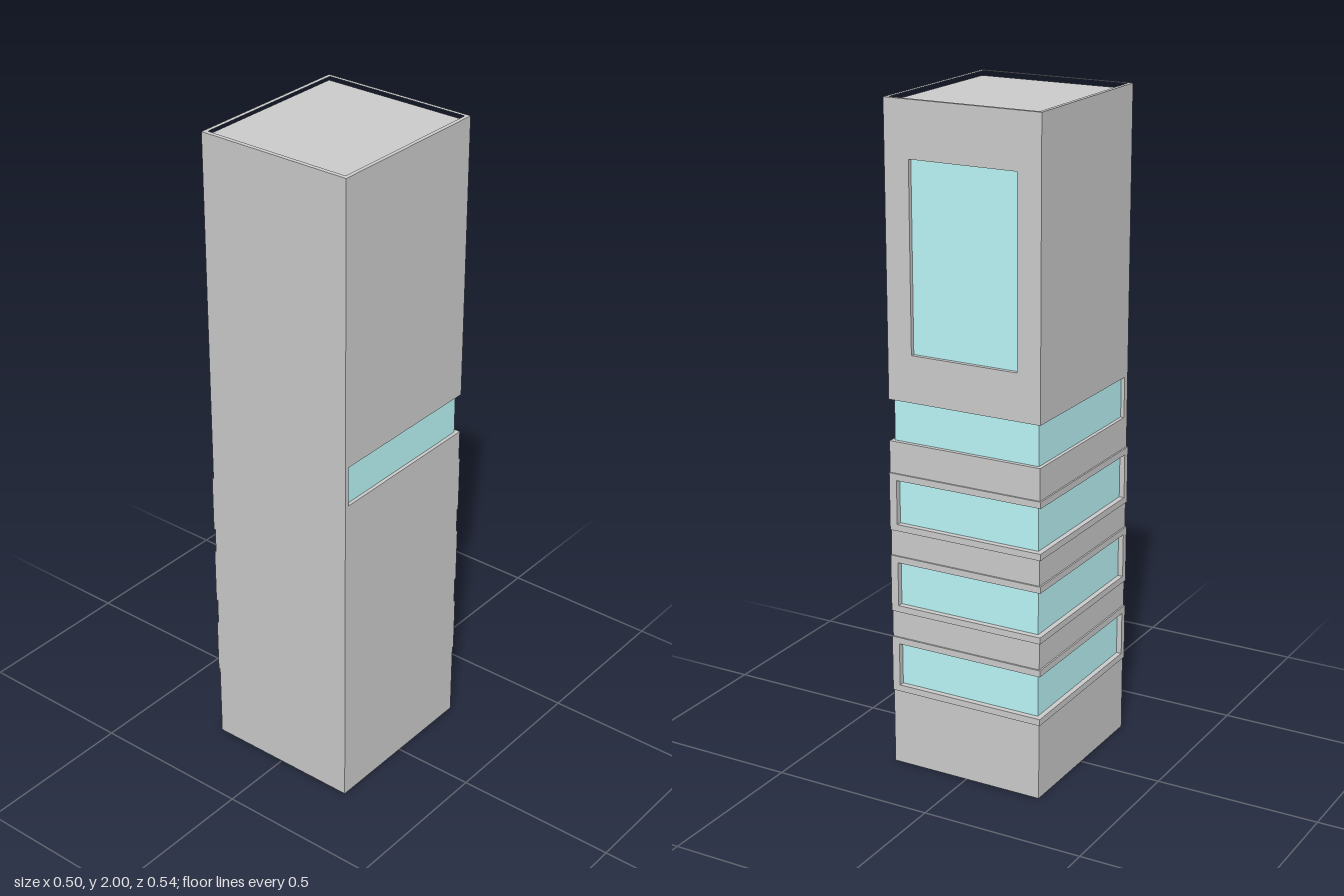
import * as THREE from 'three';

const grey = new THREE.MeshStandardMaterial({ color: 0xcccccc });
const glass = new THREE.MeshStandardMaterial({ color: 0xbbf7f8 });

// Main wall planes, and the glass planes set back behind them
const X0 = -0.243, X1 = 0.247, Z0 = -0.266, Z1 = 0.27;
const GX0 = -0.23, GX1 = 0.234, GZ0 = -0.251;
const LIP = 0.005;

const rect = (x0, x1, z0, z1) => [[x0, z0], [x1, z0], [x1, z1], [x0, z1]];
const toPoints = (plan) => plan.map(([x, z]) => new THREE.Vector2(x, -z));

export function createModel() {
  const model = new THREE.Group();

  // Raise a floor plan of [x, z] corners from y0 to y1
  function slab(name, plan, y0, y1, material = grey, hole = null) {
    const shape = new THREE.Shape(toPoints(plan));
    if (hole) shape.holes.push(new THREE.Path(toPoints(hole)));
    const geometry = new THREE.ExtrudeGeometry(shape, { depth: y1 - y0, bevelEnabled: false });
    geometry.rotateX(-Math.PI / 2);
    geometry.translate(0, y0, 0);
    const mesh = new THREE.Mesh(geometry, material);
    mesh.name = name;
    model.add(mesh);
  }

  const full = rect(X0, X1, Z0, Z1);
  const lipped = rect(X0 - LIP, X1, Z0 - LIP, Z1);

  // Corner ribbon windows, wrapping the back and one side, in a raised surround
  const bands = [[0.256, 0.389], [0.511, 0.646], [0.765, 0.9]];
  const surround = [
    [X0 - LIP, Z1], [X0 - LIP, 0.25], [GX0, 0.25], [GX0, GZ0],
    [0.223, GZ0], [0.223, Z0 - LIP], [X1, Z0 - LIP], [X1, Z1],
  ];
  const ribbon = [
    [GX0 - 0.002, 0.25], [GX0 - 0.002, GZ0 - 0.002], [0.223, GZ0 - 0.002],
    [0.223, GZ0 + 0.01], [GX0 + 0.01, GZ0 + 0.01], [GX0 + 0.01, 0.25],
  ];
  const edge = 0.02;
  let y = 0;
  for (const [a, b] of bands) {
    slab('lowerWall', full, y, a - edge);
    slab('ribbonSill', lipped, a - edge, a);
    slab('ribbonSurround', surround, a, b);
    slab('ribbonWindow', ribbon, a, b, glass);
    slab('ribbonHead', lipped, b, b + edge);
    y = b + edge;
  }

  // Glazed band around the back and both sides
  const G0 = 1.016, G1 = 1.14;
  slab('lowerWall', full, y, G0);
  slab('bandCore', [
    [X0, Z1], [X0, 0.25], [GX0, 0.25], [GX0, GZ0],
    [GX1, GZ0], [GX1, 0.257], [X1, 0.257], [X1, Z1],
  ], G0, G1);
  slab('bandWindow', [
    [GX0 - 0.002, 0.25], [GX0 - 0.002, GZ0 - 0.002], [GX1 + 0.002, GZ0 - 0.002],
    [GX1 + 0.002, 0.257], [GX1 - 0.01, 0.257], [GX1 - 0.01, GZ0 + 0.01],
    [GX0 + 0.01, GZ0 + 0.01], [GX0 + 0.01, 0.25],
  ], G0, G1, glass);

  // Upper block with the large recessed back window
  const W0 = 1.28, W1 = 1.836, WX = 0.169;
  slab('upperWall', full, G1, W0);
  slab('windowWall', [
    [X0, Z1], [X0, Z0], [-WX, Z0], [-WX, GZ0],
    [WX, GZ0], [WX, Z0], [X1, Z0], [X1, Z1],
  ], W0, W1);
  slab('backWindow', rect(-WX, WX, GZ0 - 0.002, GZ0 + 0.01), W0, W1, glass);
  slab('upperWall', full, W1, 1.983);

  // Low parapet around the flat roof
  slab('parapet', full, 1.983, 2, grey, rect(-0.231, 0.235, -0.255, 0.257));

  return model;
}
